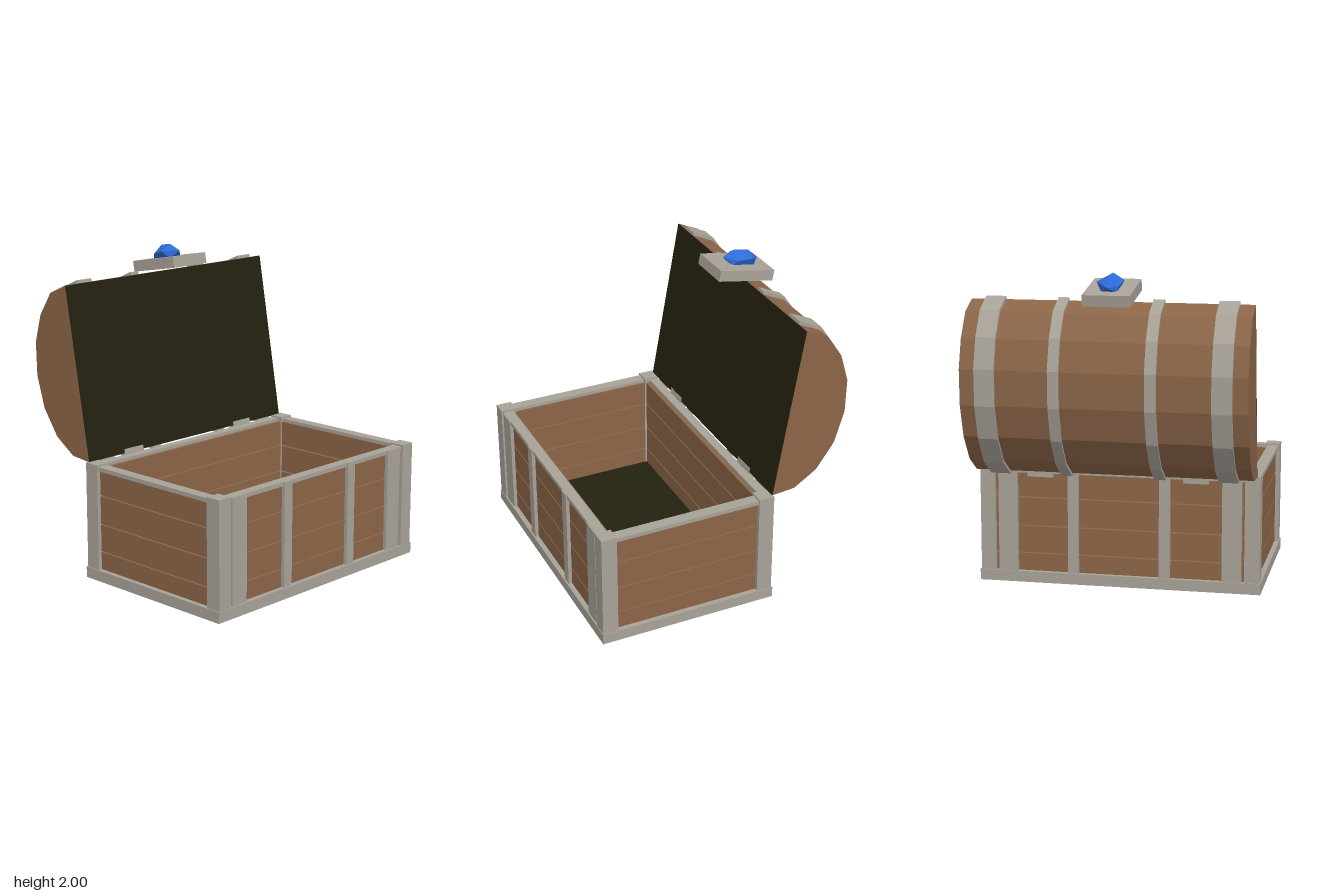
import * as THREE from 'three';
import { ConvexGeometry } from 'three/addons/geometries/ConvexGeometry.js';

const material = (name, color) => {
  const m = new THREE.MeshStandardMaterial({ color });
  m.name = name;
  return m;
};

export function createModel() {
  const wood = material('brown wood', 0x8b6547);
  const metal = material('grey metal', 0xa8a298);
  const dark = material('dark lining', 0x23210f);
  const blue = material('blue gem', 0x2c6ad6);

  const chest = new THREE.Group();
  chest.name = 'chest';

  const add = (name, geometry, mat, parent = chest) => {
    const mesh = new THREE.Mesh(geometry, mat);
    mesh.name = name;
    parent.add(mesh);
    return mesh;
  };
  // Box given by its limits on each axis
  const box = (name, mat, [x0, x1], [y0, y1], [z0, z1]) => {
    const mesh = add(name, new THREE.BoxGeometry(x1 - x0, y1 - y0, z1 - z0), mat);
    mesh.position.set((x0 + x1) / 2, (y0 + y1) / 2, (z0 + z1) / 2);
    return mesh;
  };
  const mirrorX = (s, a, b) => (s > 0 ? [a, b] : [-b, -a]);

  // Base slab and floor lining
  box('base', metal, [-0.9, 0.9], [0, 0.07], [-0.333, 0.83]);
  box('floor', dark, [-0.81, 0.81], [0.07, 0.078], [-0.245, 0.74]);

  // Wall planks with open gaps between them
  const rows = [[0.07, 0.182], [0.19, 0.36], [0.368, 0.545], [0.553, 0.715]];
  for (const row of rows) {
    box('frontPlank', wood, [-0.81, 0.81], row, [0.728, 0.797]);
    box('backPlank', wood, [-0.81, 0.81], row, [-0.302, -0.237]);
    for (const s of [1, -1]) box('sidePlank', wood, mirrorX(s, 0.8, 0.868), row, [-0.24, 0.735]);
  }

  // Corner posts and top rails
  for (const s of [1, -1]) {
    box('frontPost', metal, mirrorX(s, 0.797, 0.893), [0.07, 0.747], [0.725, 0.826]);
    box('backPost', metal, mirrorX(s, 0.797, 0.893), [0.07, 0.747], [-0.326, -0.225]);
    box('sideRail', metal, mirrorX(s, 0.812, 0.885), [0.71, 0.736], [-0.225, 0.725]);
  }
  box('frontRail', metal, [-0.797, 0.797], [0.71, 0.736], [0.745, 0.812]);
  box('backRail', metal, [-0.797, 0.797], [0.71, 0.736], [-0.318, -0.26]);

  // Upright straps on front and back
  const straps = [[-0.778, -0.655], [-0.328, -0.258], [0.258, 0.325], [0.652, 0.776]];
  for (const strap of straps) {
    box('frontStrap', metal, strap, [0.07, 0.735], [0.79, 0.82]);
    box('backStrap', metal, strap, [0.07, 0.735], [-0.326, -0.295]);
  }

  // Open lid: faceted profile in (z, y), extruded along x
  const lid = new THREE.Group();
  lid.name = 'lid';
  chest.add(lid);
  const profile = [
    [-0.323, 0.743], [-0.477, 0.758], [-0.625, 0.854], [-0.742, 1.018], [-0.805, 1.22],
    [-0.811, 1.437], [-0.758, 1.617], [-0.657, 1.766], [-0.514, 1.83],
  ].map(([z, y]) => new THREE.Vector2(z, y));
  const extrudeX = (points, width) => new THREE.ExtrudeGeometry(new THREE.Shape(points),
    { depth: width, bevelEnabled: false }).translate(0, 0, -width / 2).rotateY(-Math.PI / 2);
  add('lidShell', extrudeX(profile, 1.74), wood, lid);

  // Flat lining on the inside of the lid
  const tilt = -0.174;
  const lining = add('lidLining', new THREE.BoxGeometry(1.74, 1.1, 0.006), dark, lid);
  lining.position.set(0, 1.2865, -0.4175);
  lining.rotation.x = tilt;

  // Bands around the lid
  const centre = new THREE.Vector2(-0.4185, 1.2865);
  const outer = profile.map((p) => p.clone().sub(centre).multiplyScalar(1.037).add(centre));
  const ring = [...outer, ...profile.slice().reverse()];
  for (const [x0, x1] of straps) {
    add('lidBand', extrudeX(ring, x1 - x0), metal, lid).position.x = (x0 + x1) / 2;
  }

  // Hinges
  for (const s of [1, -1]) {
    const x = mirrorX(s, 0.415, 0.575);
    box('hingeBlock', metal, x, [0.695, 0.738], [-0.356, -0.315]);
    box('hingeLeaf', metal, x, [0.735, 0.77], [-0.333, -0.318]).rotation.x = tilt;
  }

  // Latch plate with its gem
  const latch = new THREE.Group();
  latch.name = 'latch';
  latch.position.set(0, 1.882, -0.495);
  latch.rotation.x = tilt;
  chest.add(latch);
  add('latchPlate', new THREE.BoxGeometry(0.29, 0.07, 0.377), metal, latch);
  const gemPoints = [
    [-0.005, 0.08, 0.045], [0.005, 0.082, -0.045], [0, 0.033, 0.12], [0, 0.03, -0.12],
    [0.077, 0.052, -0.055], [0.066, 0.03, 0.045], [-0.063, 0.03, -0.055], [-0.077, 0.04, 0.03],
    [0.045, -0.01, 0.07], [-0.045, -0.01, 0.07], [0.045, -0.01, -0.08], [-0.045, -0.01, -0.08],
  ].map((p) => new THREE.Vector3(...p));
  add('gem', new ConvexGeometry(gemPoints), blue, latch).position.set(0, 0.035, -0.014);

  return chest;
}
